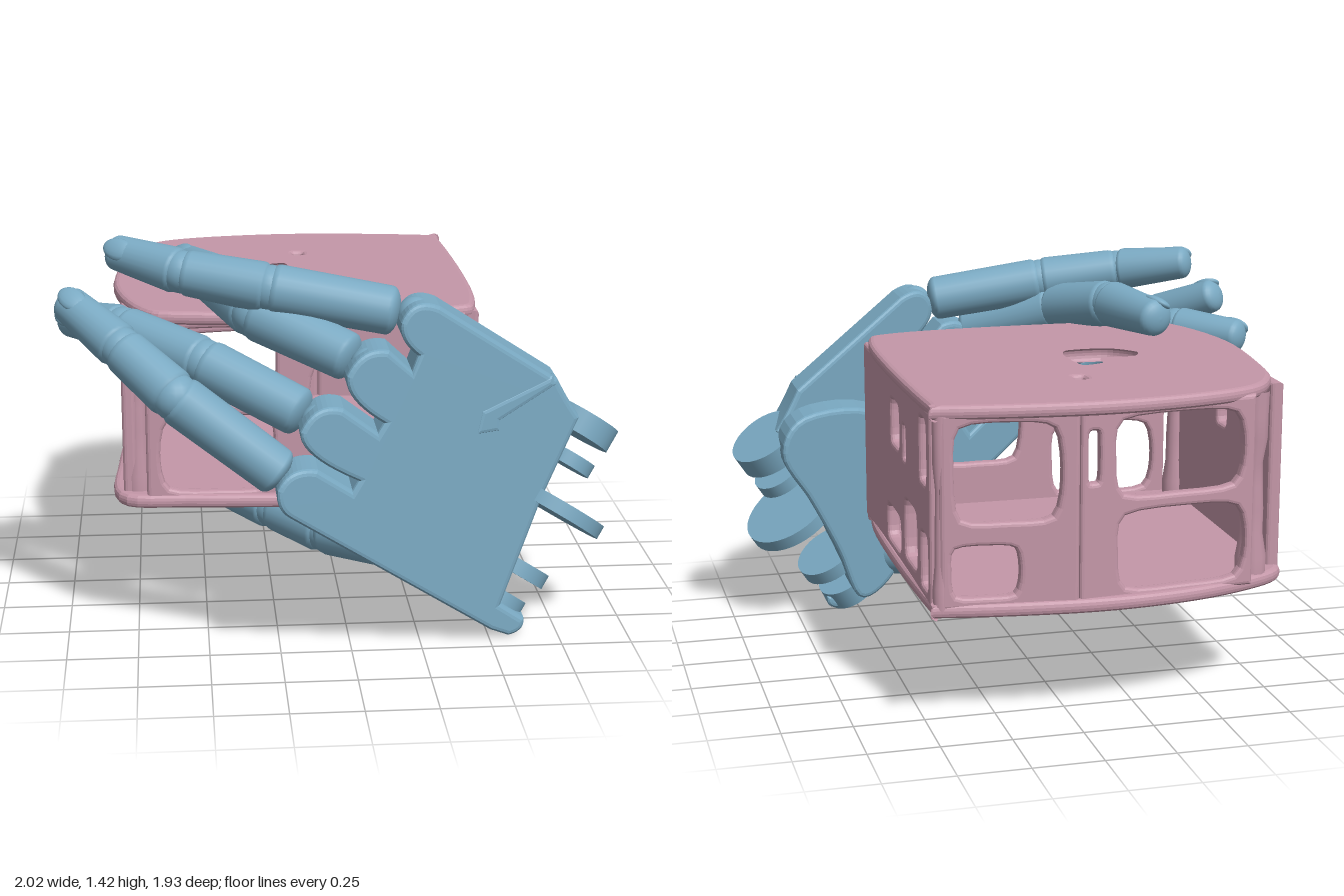
import * as THREE from 'three';

const BLUE = new THREE.MeshStandardMaterial({ color: 0x7aa9c2 });
const PINK = new THREE.MeshStandardMaterial({ color: 0xc497a8, side: THREE.DoubleSide });
const V = (x, y, z) => new THREE.Vector3(x, y, z);
const UP = V(0, 1, 0);

function add(parent, name, geo, mat) {
  const m = new THREE.Mesh(geo, mat);
  m.name = name;
  parent.add(m);
  return m;
}

// closed smooth outline through a few points
function loop(pts, tension = 0.5, n = 48) {
  const c = new THREE.CatmullRomCurve3(pts.map(p => V(p[0], p[1], 0)), true, 'catmullrom', tension);
  return c.getPoints(n).slice(0, n).map(p => new THREE.Vector2(p.x, p.y));
}

// uneven rounded opening inside a rectangle
function opening([x0, y0, x1, y1]) {
  const w = x1 - x0, h = y1 - y0;
  const f = [[0.08, 0.04], [0.5, 0], [0.94, 0.04], [1, 0.5], [0.95, 0.95], [0.45, 1], [0.07, 0.93], [0, 0.45]];
  return new THREE.Path(loop(f.map(p => [x0 + p[0] * w, y0 + p[1] * h]), 0.4, 28));
}

function extrude(shape, depth, bevel) {
  return new THREE.ExtrudeGeometry(shape, {
    depth: depth - 2 * bevel, bevelEnabled: true, bevelThickness: bevel,
    bevelSize: bevel, bevelOffset: -bevel, bevelSegments: 3, curveSegments: 10,
  }).translate(0, 0, bevel);
}

// shift z of every vertex by a rule in x and y
function shiftZ(g, rule) {
  const p = g.attributes.position;
  for (let i = 0; i < p.count; i++) p.setZ(i, p.getZ(i) + rule(p.getX(i), p.getY(i)));
  g.computeVertexNormals();
  return g;
}

// ---------- melted-looking box ----------
function makeBox() {
  const box = new THREE.Group();
  box.name = 'openBox';
  const top = [[-0.82, -0.1], [-0.79, -0.55], [-0.74, -0.74], [-0.62, -0.87], [-0.35, -0.94], [0, -0.955],
    [0.46, -0.89], [0.495, -0.82], [0.51, -0.2], [0.49, 0.24], [0.4, 0.35], [0, 0.385], [-0.55, 0.36], [-0.72, 0.27]];
  const bottom = top.map(p => [...p]);
  bottom[2] = [-0.79, -0.76];
  bottom[13] = [-0.81, 0.3];

  const plate = (name, pts, y, holes) => {
    const s = new THREE.Shape(loop(pts.map(p => [p[0], -p[1]]), 0.5, 72));
    s.holes.push(...holes);
    add(box, name, extrude(s, 0.05, 0.02).rotateX(-Math.PI / 2).translate(0, y, 0), PINK);
  };
  const lidHole = [[-0.26, 0.39], [-0.15, 0.41], [-0.125, 0.22], [-0.17, 0.12], [-0.34, 0.12], [-0.44, 0.22], [-0.4, 0.31], [-0.28, 0.31]];
  plate('topPlate', top, 1.095, [new THREE.Path(loop(lidHole, 0.4)), opening([-0.12, 0.55, -0.085, 0.6])]);
  plate('bottomPlate', bottom, 0.41, []);

  const wall = (name, a0, a1, holes, place) => {
    const s = new THREE.Shape([[a0, 0.44], [a1, 0.44], [a1, 1.12], [a0, 1.12]].map(p => new THREE.Vector2(...p)));
    s.holes.push(...holes.map(opening));
    add(box, name, place(extrude(s, 0.05, 0.015)), PINK);
  };
  const side = x => g => g.rotateY(-Math.PI / 2).translate(x, 0, 0);
  const slanted = (z, slope) => g => shiftZ(g, x => z + slope * x);
  wall('rightWall', -0.84, 0.32, [[-0.34, 0.86, -0.19, 1.02], [-0.45, 0.85, -0.4, 0.97], [-0.35, 0.48, -0.11, 0.61],
    [-0.63, 0.5, -0.42, 0.71], [-0.785, 0.85, -0.68, 1.07], [-0.8, 0.48, -0.69, 0.67]], side(0.495));
  wall('leftWall', -0.74, 0.29, [[-0.69, 0.86, -0.56, 1.06], [-0.3, 0.86, -0.2, 0.98], [-0.68, 0.52, -0.6, 0.64]], side(-0.745));
  // the back is two panels meeting at a blunt angle
  wall('backWallLeftHalf', 0, 0.47, [[0.06, 0.74, 0.42, 1.08], [0.2, 0.48, 0.43, 0.66]], slanted(-0.94, 0.11));
  wall('backWallRightHalf', -0.64, 0, [[-0.61, 0.47, -0.14, 0.75], [-0.6, 0.8, -0.13, 1.08], [-0.07, 0.86, -0.03, 1.04]],
    slanted(-0.94, -0.09));
  wall('frontWall', -0.71, 0.44, [[-0.66, 0.47, -0.25, 0.755], [-0.65, 0.8, -0.24, 1.08], [-0.12, 0.62, 0.2, 0.95]],
    slanted(0.3, 0.01));

  // wavy corner posts close the gaps between walls
  for (const [x, z, r] of [[0.46, -0.86, 0.025], [-0.67, -0.78, 0.045], [0.44, 0.28, 0.045], [-0.74, 0.25, 0.04]]) {
    const pts = [];
    for (let i = 0; i <= 8; i++) pts.push(new THREE.Vector2(r * (1 + 0.2 * Math.cos(i * Math.PI / 4) + 0.1 * Math.sin(i * 2.3)), 0.43 + i * 0.085));
    add(box, 'cornerPost', new THREE.LatheGeometry(pts, 14).translate(x, 0, z), PINK);
  }
  return box;
}

// ---------- fingers ----------
// tapered segment with domed ends from a to b
function segment(parent, name, a, b, ra, rb) {
  const len = a.distanceTo(b), pts = [];
  for (let i = 0; i <= 6; i++) {
    const t = i / 6 * Math.PI / 2;
    pts.push(new THREE.Vector2(ra * Math.sin(t), -ra * 0.45 * Math.cos(t)));
  }
  for (let i = 0; i <= 7; i++) {
    const t = i / 7 * Math.PI / 2;
    pts.push(new THREE.Vector2(rb * Math.cos(t), len + rb * 0.6 * Math.sin(t)));
  }
  const m = add(parent, name, new THREE.LatheGeometry(pts, 24), BLUE);
  m.position.copy(a);
  m.quaternion.setFromUnitVectors(UP, b.clone().sub(a).normalize());
}

function finger(parent, name, points, radii, outward) {
  const g = new THREE.Group();
  g.name = name;
  parent.add(g);
  const p = points.map(q => V(...q));
  const parts = ['proximalSegment', 'middleSegment', 'tipSegment'];
  for (let i = 0; i < 3; i++) {
    const d = p[i + 1].clone().sub(p[i]).normalize();
    const start = p[i].clone().addScaledVector(d, i ? 0.03 : 0.09);
    const end = p[i + 1].clone().addScaledVector(d, i < 2 ? -0.03 : -radii[3] * 0.6);
    segment(g, parts[i], start, end, radii[i], radii[i + 1]);
    const joint = add(g, 'joint', new THREE.SphereGeometry(radii[i] * (i ? 0.93 : 0.75), 20, 14), BLUE);
    joint.position.copy(p[i]);
  }
  // nail
  const dir = p[3].clone().sub(p[2]).normalize();
  const out = V(...outward).addScaledVector(dir, -V(...outward).dot(dir)).normalize();
  const nail = add(g, 'nail', new THREE.SphereGeometry(1, 16, 12).scale(radii[3] * 0.65, radii[3] * 0.95, radii[3] * 0.3), BLUE);
  nail.quaternion.setFromRotationMatrix(new THREE.Matrix4().makeBasis(dir.clone().cross(out), dir, out));
  nail.position.copy(p[3]).addScaledVector(dir, -radii[3]).addScaledVector(out, radii[3] * 0.82);
}

// ---------- palm ----------
// slab drawn face-on, then sheared into the slanted plane of the palm
function slab(parent, name, shape, front, depth) {
  const g = extrude(shape, depth, 0.02).translate(0, 0, -front - depth);
  add(parent, name, shiftZ(g, (x, y) => 0.875 - 0.39 * x - 0.035 * (y - 0.6)), BLUE);
}

function makePalm(hand) {
  const s = new THREE.Shape();
  s.moveTo(0.5, 0.04);
  s.lineTo(0.57, 0.005);
  s.quadraticCurveTo(0.64, 0.01, 0.63, 0.06);
  s.lineTo(0.54, 0.13);
  s.lineTo(0.69, 0.5);
  s.lineTo(0.83, 0.78);
  s.quadraticCurveTo(0.78, 0.85, 0.74, 0.93);
  s.lineTo(0.3, 1.24);
  s.quadraticCurveTo(0.2, 1.29, 0.16, 1.2); // index post
  s.quadraticCurveTo(0.15, 1.14, 0.22, 1.08);
  s.lineTo(0.2, 1.03);
  s.lineTo(0.12, 1.11);
  s.quadraticCurveTo(0.02, 1.14, -0.03, 1.04); // middle post
  s.quadraticCurveTo(-0.04, 0.96, 0.1, 0.86);
  s.lineTo(0.08, 0.83);
  s.lineTo(-0.04, 0.93);
  s.quadraticCurveTo(-0.14, 0.97, -0.19, 0.87); // ring post
  s.quadraticCurveTo(-0.2, 0.79, 0.01, 0.67);
  s.lineTo(-0.01, 0.64);
  s.lineTo(-0.13, 0.73);
  s.quadraticCurveTo(-0.23, 0.76, -0.27, 0.68); // little post
  s.quadraticCurveTo(-0.28, 0.61, -0.22, 0.57);
  s.closePath();
  slab(hand, 'palm', s, 0, 0.19);

  const inner = loop([[0.3, 0.34], [0.38, 0.15], [0.52, 0.09], [0.61, 0.3], [0.72, 0.52], [0.83, 0.72], [0.74, 0.86], [0.45, 0.84], [0.31, 0.62]]);
  slab(hand, 'innerPalm', new THREE.Shape(inner), 0.15, 0.2);
  const rim = new THREE.Shape([[0.43, 0.77], [0.53, 0.77], [0.53, 0.81], [0.74, 0.91], [0.72, 0.95], [0.45, 0.86]].map(q => new THREE.Vector2(...q)));
  slab(hand, 'thumbSideRim', rim, -0.004, 0.05);

  // wrist hinge lugs: thin discs across the wrist edge
  const across = V(0.521, 0.813, -0.232).normalize();
  for (const [x, y, r, t, inset] of [[0.85, 0.72, 0.14, 0.085, 0.13], [0.81, 0.59, 0.1, 0.05, 0.13], [0.76, 0.425, 0.19, 0.05, 0.1],
    [0.61, 0.22, 0.13, 0.055, 0.12], [0.535, 0.1, 0.11, 0.085, 0.13]]) {
    const lug = add(hand, 'wristLug', new THREE.CylinderGeometry(r, r, t, 36), BLUE);
    lug.position.set(x, y, 0.875 - 0.39 * x - inset);
    lug.quaternion.setFromUnitVectors(UP, across);
  }
}

export function createModel() {
  const root = new THREE.Group();
  root.name = 'handHoldingBox';
  root.add(makeBox());

  const hand = new THREE.Group();
  hand.name = 'hand';
  root.add(hand);
  makePalm(hand);
  finger(hand, 'indexFinger', [[0.22, 1.2, 0.67], [-0.27, 1.28, 0.58], [-0.57, 1.325, 0.5], [-0.82, 1.37, 0.34]],
    [0.085, 0.088, 0.08, 0.062], [-0.2, 0.5, 0.85]);
  finger(hand, 'middleFinger', [[0.05, 1.05, 0.77], [-0.32, 1.18, 0.53], [-0.46, 1.24, 0.24], [-0.56, 1.23, -0.08]],
    [0.085, 0.092, 0.088, 0.07], [-0.5, 0.85, 0.1]);
  finger(hand, 'ringFinger', [[-0.12, 0.87, 0.82], [-0.5, 1.03, 0.61], [-0.78, 1.1, 0.39], [-0.99, 1.09, 0.18]],
    [0.085, 0.088, 0.082, 0.066], [-0.5, 0.5, 0.7]);
  finger(hand, 'littleFinger', [[-0.2, 0.66, 0.86], [-0.6, 0.97, 0.82], [-0.78, 1.1, 0.66], [-0.98, 1.22, 0.44]],
    [0.085, 0.088, 0.08, 0.066], [0.2, 0.5, 0.85]);
  finger(hand, 'thumb', [[0.34, 0.24, 0.48], [-0.04, 0.25, 0.14], [-0.23, 0.28, -0.02], [-0.47, 0.305, -0.28]],
    [0.08, 0.105, 0.092, 0.075], [-0.3, -0.9, -0.2]);
  segment(hand, 'thumbBase', V(0.46, 0.28, 0.54), V(0.22, 0.23, 0.38), 0.14, 0.085);
  return root;
}
